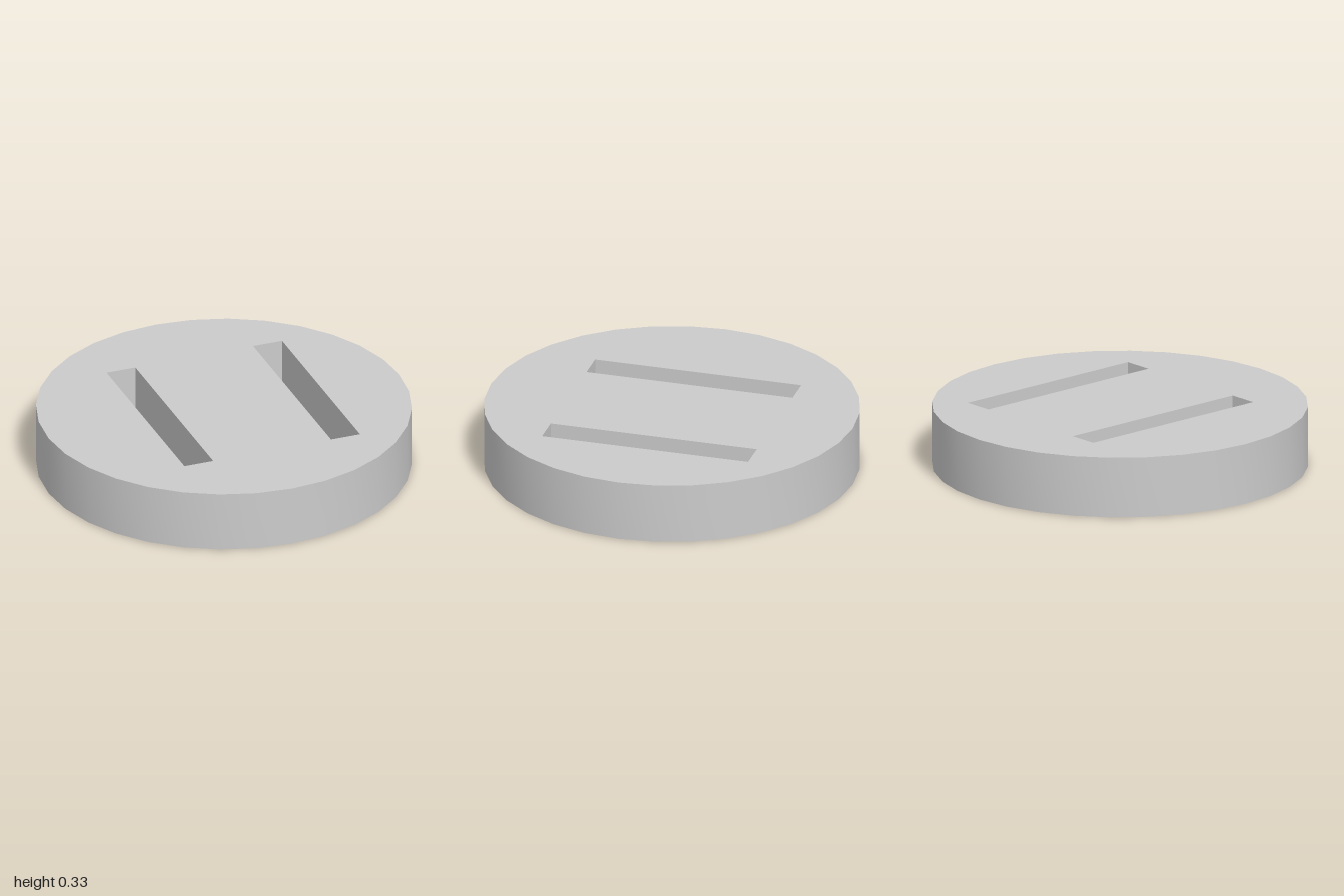
import * as THREE from 'three';
import { toCreasedNormals } from 'three/addons/utils/BufferGeometryUtils.js';

const HEIGHT = 0.33;
const SIDES = 32;
const SLOTS = [[-0.442, -0.278], [0.393, 0.558]]; // x ranges
const SLOT_BACK = -0.585, SLOT_FRONT = 0.555; // z range

export function createModel() {
  const group = new THREE.Group();
  group.name = 'slottedDisc';

  // Round outline, drawn in the plane where shape y is -z
  const outline = [];
  for (let i = 0; i < SIDES; i++) {
    const a = (i / SIDES) * Math.PI * 2;
    outline.push(new THREE.Vector2(Math.cos(a), Math.sin(a)));
  }
  const shape = new THREE.Shape(outline);

  // Two rectangular slots cut right through
  for (const [x0, x1] of SLOTS) {
    shape.holes.push(new THREE.Path([
      new THREE.Vector2(x0, -SLOT_FRONT),
      new THREE.Vector2(x0, -SLOT_BACK),
      new THREE.Vector2(x1, -SLOT_BACK),
      new THREE.Vector2(x1, -SLOT_FRONT),
    ]));
  }

  // Extrude upward; smooth rim, sharp edges
  const extruded = new THREE.ExtrudeGeometry(shape, { depth: HEIGHT, bevelEnabled: false });
  extruded.rotateX(-Math.PI / 2);
  const disc = new THREE.Mesh(
    toCreasedNormals(extruded, Math.PI / 6),
    new THREE.MeshStandardMaterial({ color: 0xcccccc }),
  );
  disc.name = 'disc';
  group.add(disc);
  return group;
}
